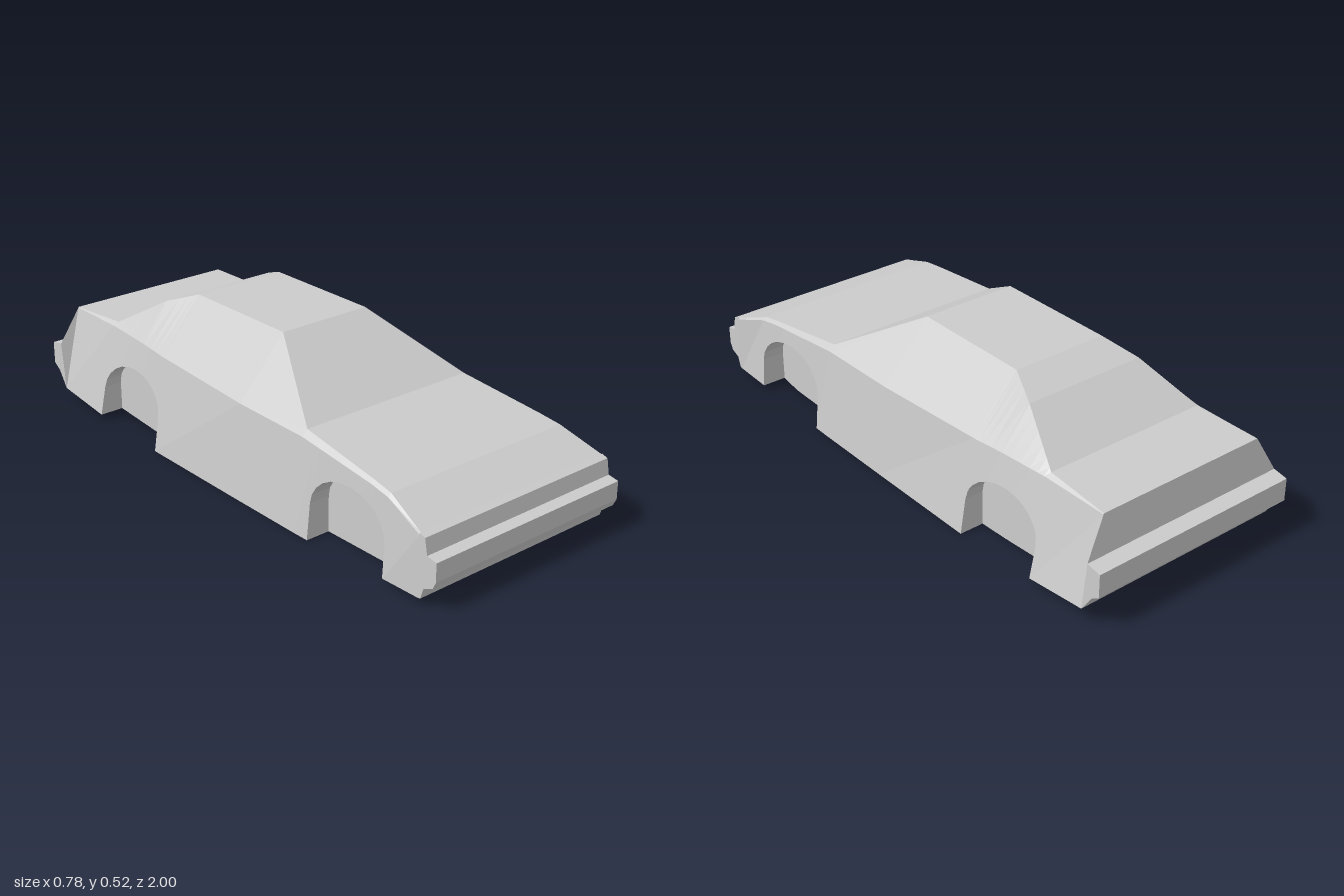
import * as THREE from 'three';

const W = 0.388; // half width at the sill

// Stations from nose to tail: z, top half width, top y, belt half width, belt y, floor y
const KEYS = [
  [0.93, 0.384, 0.235, 0.388, 0.228, 0.025],
  [0.78, 0.358, 0.29, 0.37, 0.28, 0.02],
  [0.7, 0.353, 0.302, 0.365, 0.291, 0.005],
  [0.38, 0.335, 0.34, 0.355, 0.32, 0],
  [0.07, 0.175, 0.52, 0.352, 0.322, 0],
  [-0.38, 0.175, 0.52, 0.335, 0.335, 0.002],
  [-0.5, 0.225, 0.475, 0.328, 0.342, 0.008],
  [-0.69, 0.302, 0.36, 0.319, 0.348, 0.022],
  [-0.93, 0.315, 0.35, 0.317, 0.347, 0.05],
];
const ARCHES = [
  { z: 0.61, r: 0.17, top: 0.245 },
  { z: -0.535, r: 0.165, top: 0.24 },
];
const ARCH_SPRING = 0.125; // height where the arch starts to curve
const ARCH_INNER = 0.3;    // half width of the inner pocket wall

function stationAt(z) {
  let i = 0;
  while (i < KEYS.length - 2 && z < KEYS[i + 1][0]) i++;
  const t = (KEYS[i][0] - z) / (KEYS[i][0] - KEYS[i + 1][0]);
  return KEYS[i].map((v, n) => THREE.MathUtils.lerp(v, KEYS[i + 1][n], t));
}

// Ring of ten points: right side going down, then left side going up
function section(z, arch) {
  const [, tx, ty, bx, by, floor] = stationAt(z);
  let edgeY = floor, inner = W;
  if (arch) {
    const u = (z - arch.z) / arch.r;
    edgeY = ARCH_SPRING + (arch.top - ARCH_SPRING) * Math.sqrt(Math.max(0, 1 - u * u));
    inner = ARCH_INNER;
  }
  const edgeX = THREE.MathUtils.lerp(W, bx, (edgeY - floor) / (by - floor));
  const half = [[tx, ty], [bx, by], [edgeX, edgeY], [inner, edgeY], [inner, floor]];
  const ring = [...half, ...half.slice().reverse().map(([x, y]) => [-x, y])];
  return ring.map(([x, y]) => new THREE.Vector3(x, y, z));
}

// Body shell lofted along z, with the wheel pockets stepped in
function shellGeometry() {
  const entries = [];
  for (const a of ARCHES) {
    entries.push({ z: a.z + a.r, order: 0 }, { z: a.z - a.r, order: 2 });
    for (let k = 0; k <= 12; k++) {
      entries.push({ z: a.z + a.r * Math.cos((Math.PI * k) / 12), order: 1, arch: a });
    }
  }
  for (const [z] of KEYS) {
    const arch = ARCHES.find((a) => Math.abs(z - a.z) < a.r - 1e-4);
    if (!ARCHES.some((a) => Math.abs(Math.abs(z - a.z) - a.r) < 1e-4)) entries.push({ z, order: 1, arch });
  }
  entries.sort((p, q) => (Math.abs(p.z - q.z) < 1e-6 ? p.order - q.order : q.z - p.z));
  const rings = entries.map((e) => section(e.z, e.arch));

  const points = [];
  const tri = (a, b, c) => {
    const n = b.clone().sub(a).cross(c.clone().sub(a));
    if (n.length() > 1e-8) points.push(a, b, c);
  };
  for (let k = 0; k < rings.length - 1; k++) {
    const r = rings[k], s = rings[k + 1];
    for (let j = 0; j < r.length; j++) {
      const n = (j + 1) % r.length;
      tri(r[j], r[n], s[j]);
      tri(r[n], s[n], s[j]);
    }
  }
  const g = new THREE.BufferGeometry().setFromPoints(points);
  g.computeVertexNormals();
  return g;
}

// Side profile in (z, y) extruded across the full width
function acrossGeometry(profile) {
  const shape = new THREE.Shape(profile.map(([z, y]) => new THREE.Vector2(z, y)));
  const g = new THREE.ExtrudeGeometry(shape, { depth: 2 * W, bevelEnabled: false });
  g.translate(0, 0, -W);
  g.rotateY(-Math.PI / 2);
  return g;
}

export function createModel() {
  const model = new THREE.Group();
  model.name = 'car';
  const paint = new THREE.MeshStandardMaterial({ color: 0xcccccc });
  paint.name = 'light grey';
  const add = (name, geometry) => {
    const mesh = new THREE.Mesh(geometry, paint);
    mesh.name = name;
    model.add(mesh);
  };

  add('bodyShell', shellGeometry());

  // Nose with front bumper
  add('frontBumper', acrossGeometry([
    [0.93, 0.235], [0.93, 0.025], [0.94, 0.027], [0.952, 0.065], [0.988, 0.08],
    [1, 0.105], [1, 0.168], [0.962, 0.175], [0.952, 0.228],
  ]));

  // Tail panel with rear bumper, narrowed at the deck edge
  const tail = acrossGeometry([
    [-0.93, 0.35], [-0.948, 0.22], [-1, 0.21], [-1, 0.13], [-0.97, 0.11], [-0.93, 0.05],
  ]);
  const p = tail.attributes.position;
  for (let i = 0; i < p.count; i++) {
    if (p.getY(i) > 0.3) p.setX(i, Math.sign(p.getX(i)) * 0.315);
  }
  tail.computeVertexNormals();
  add('rearBumper', tail);

  return model;
}
